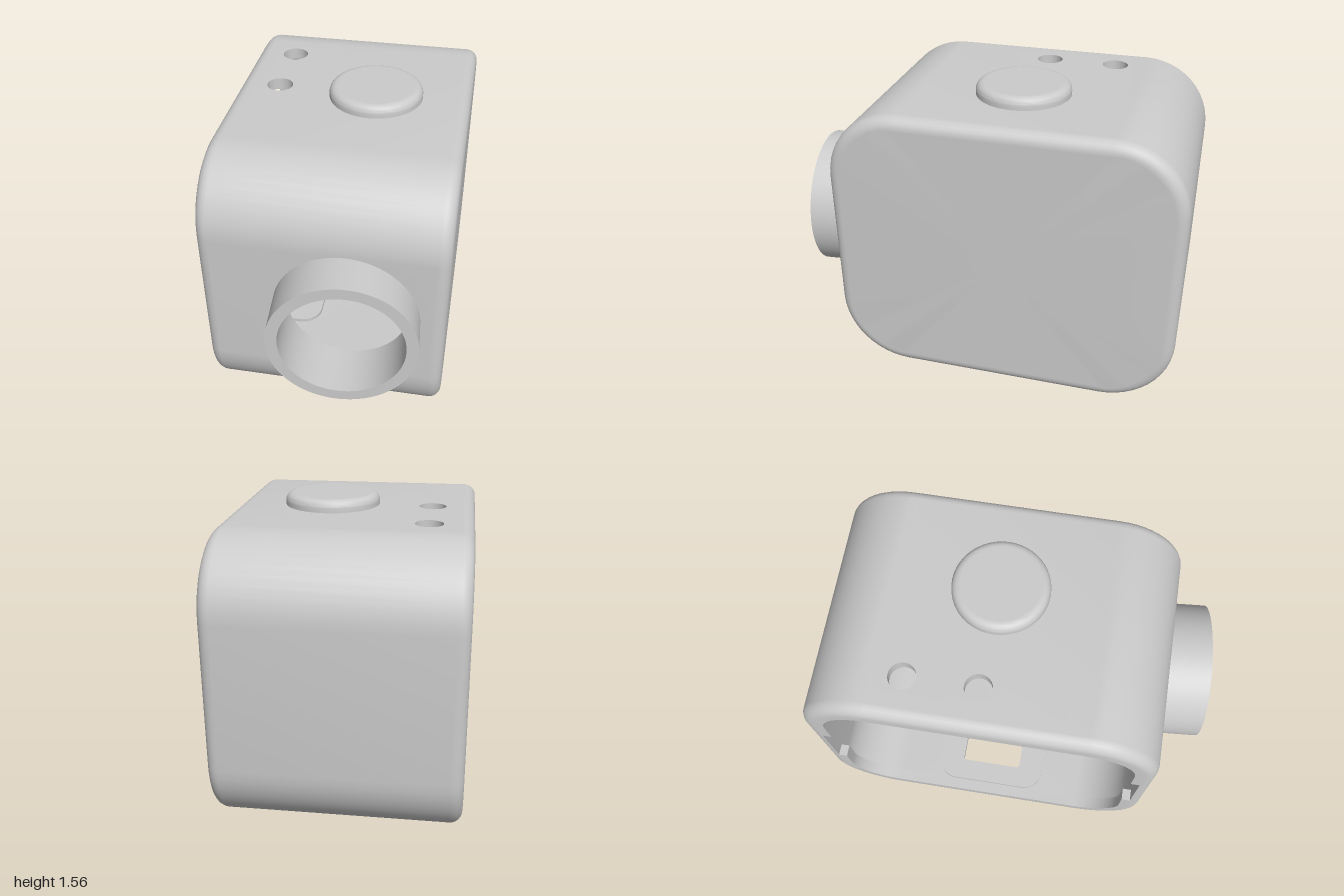
import * as THREE from 'three';
import { mergeGeometries, toCreasedNormals } from 'three/addons/utils/BufferGeometryUtils.js';

const R = 0.36, WALL = 0.062, EDGE = 0.06, END = 0.54;  // corner radius, wall, edge rounding
const LIP = 0.11;                                       // inset of the lip round the open end
const Z0 = -0.64, Z1 = 0.4, Y0 = 0.42, Y1 = 1.14;       // centres of the corner arcs
const CX = -0.34, CZ = -0.12;                           // centre of the slot in the floor

// Points of one rounded corner: arc centre plus direction
function corner(k) {
  const z = k === 0 || k === 3 ? Z1 : Z0, y = k < 2 ? Y1 : Y0;
  return Array.from({ length: 13 }, (_, i) => ({ z, y, a: (k + i / 12) * Math.PI / 2, notch: 0 }));
}

// Clip notch on one straight side, between the given heights
function notch(z, a, from, to) {
  return [[from, 0], [from, 1], [to, 1], [to, 0]].map(([y, n]) => ({ z, y, a, notch: n * 0.045 }));
}

// Sweep a profile of [x, inset, notched] along section points; a null inset closes to the centre
function sweep(profile, loop) {
  const pos = [], index = [], n = loop.length;
  for (const [x, inset, notched] of profile) {
    for (const p of loop) {
      if (inset === null) { pos.push(x, 0.78, -0.12); continue; }
      const r = R - inset + (notched ? p.notch : 0);
      pos.push(x, p.y + Math.sin(p.a) * r, p.z + Math.cos(p.a) * r);
    }
  }
  for (let i = 0; i < profile.length - 1; i++) {
    for (let j = 0; j < n - 1; j++) {
      const a = i * n + j, b = a + n;
      if (profile[i][1] === null) { index.push(a, b, b + 1); continue; }
      index.push(a, b, a + 1);
      if (profile[i + 1][1] !== null) index.push(b, b + 1, a + 1);
    }
  }
  const g = new THREE.BufferGeometry();
  g.setAttribute('position', new THREE.Float32BufferAttribute(pos, 3));
  g.setIndex(index);
  return g;
}

function rect(x0, y0, x1, y1) {
  return new THREE.Shape([[x0, y0], [x1, y0], [x1, y1], [x0, y1]].map(p => new THREE.Vector2(...p)));
}

function roundRect(cx, cy, w, h, r) {
  const s = new THREE.Shape(), x = w / 2 - r, y = h / 2 - r;
  s.absarc(cx + x, cy + y, r, 0, Math.PI / 2);
  s.absarc(cx - x, cy + y, r, Math.PI / 2, Math.PI);
  s.absarc(cx - x, cy - y, r, Math.PI, Math.PI * 1.5);
  s.absarc(cx + x, cy - y, r, Math.PI * 1.5, Math.PI * 2);
  s.closePath();
  return s;
}

function circle(x, y, r) {
  return new THREE.Shape().absarc(x, y, r, 0, Math.PI * 2);
}

function slab(shape, depth, holes = []) {
  shape.holes.push(...holes);
  return new THREE.ExtrudeGeometry(shape, { depth, bevelEnabled: false, curveSegments: 24 });
}

// Horizontal slab whose shape is drawn as (x, -z)
const flat = (shape, y, depth, holes) => slab(shape, depth, holes).rotateX(-Math.PI / 2).translate(0, y, 0);

function merge(list) {
  const parts = list.map(g => {
    const p = g.index ? g.toNonIndexed() : g;
    p.deleteAttribute('uv');
    p.computeVertexNormals();
    return p;
  });
  return toCreasedNormals(mergeGeometries(parts), 0.5);
}

function buildHousing() {
  const front = notch(Z1, 0, 0.58, 0.98), back = notch(Z0, Math.PI, 0.98, 0.58);
  const loop = [...corner(0), ...corner(1), ...back, ...corner(2), ...corner(3), ...front, corner(0)[0]];
  const round = [0, 1, 2, 3, 4, 5, 6].map(i => i * Math.PI / 12)
    .map(t => [END + EDGE * Math.sin(t), EDGE * (1 - Math.cos(t))]);
  const parts = [];
  // Open end with an inward lip, notched for the lid clips
  parts.push(sweep([
    [-END, WALL], [-END, LIP, true], [-0.6, LIP, true],
    ...round.map(([x, i]) => [-x, i]).reverse(),
  ], loop));
  // Closed end, outside and inside
  parts.push(sweep([...round, [0.6, 0.066], [0.6, null]], loop));
  parts.push(sweep([[END, null], [END, WALL]], loop));
  // Curved corners
  for (let k = 0; k < 4; k++) {
    parts.push(sweep([[-END, 0], [END, 0]], corner(k)), sweep([[END, WALL], [-END, WALL]], corner(k)));
  }
  // Front wall with lens opening, plain back wall
  parts.push(slab(rect(-END, Y0, END, Y1), WALL, [circle(0.117, 0.782, 0.33)]).translate(0, 0, 0.76 - WALL));
  parts.push(slab(rect(-END, Y0, END, Y1), WALL).translate(0, 0, -1));
  // Roof with two round holes
  const plate = () => rect(-END, -Z1, END, -Z0);
  parts.push(flat(plate(), 1.5 - WALL, WALL, [circle(-0.388, 0.138, 0.067), circle(-0.388, 0.495, 0.067)]));
  // Floor with recessed slot
  const slot = () => roundRect(CX, -CZ, 0.15, 0.34, 0.02);
  parts.push(flat(plate(), 0.06, 0.05, [roundRect(CX, -CZ, 0.26, 0.48, 0.08)]));
  parts.push(flat(plate(), 0.11, WALL - 0.05, [slot()]));
  // Raised pad around the slot on the inside
  parts.push(flat(roundRect(CX, -CZ, 0.38, 0.62, 0.11), 0.06 + WALL, 0.02, [slot()]));
  return merge(parts);
}

// Lens ring: tilted front rim, back end trimmed flush with the inside of the wall
function buildLensRing() {
  const tilt = 0.085, axis = new THREE.Vector3(Math.sin(tilt), 0, Math.cos(tilt));
  const g = new THREE.ExtrudeGeometry(
    Object.assign(circle(0, 0, 0.358), { holes: [circle(0, 0, 0.3)] }),
    { depth: 1, bevelEnabled: false, curveSegments: 64 });
  const pos = g.attributes.position, v = new THREE.Vector3();
  for (let i = 0; i < pos.count; i++) {
    const isBack = pos.getZ(i) < 0.5;
    v.set(pos.getX(i), pos.getY(i), 0).applyAxisAngle(THREE.Object3D.DEFAULT_UP, tilt);
    v.add(new THREE.Vector3(0.137, 0.782, 0.969));
    if (isBack) v.addScaledVector(axis, (0.76 - WALL - v.z) / axis.z);
    pos.setXYZ(i, v.x, v.y, v.z);
  }
  return merge([g]);
}

// Round button with a softened edge
function buildButton() {
  const pts = [new THREE.Vector2(0.238, -0.02)];
  for (let i = 0; i <= 6; i++) {
    const t = i * Math.PI / 12;
    pts.push(new THREE.Vector2(0.198 + 0.04 * Math.cos(t), 0.02 + 0.04 * Math.sin(t)));
  }
  pts.push(new THREE.Vector2(0.19, 0.06), new THREE.Vector2(0, 0.06));
  return merge([new THREE.LatheGeometry(pts, 48)]);
}

export function createModel() {
  const group = new THREE.Group();
  group.name = 'cameraHousing';
  const grey = new THREE.MeshStandardMaterial({ color: 0xcbcbcb });
  grey.name = 'grey';
  const add = (name, geometry) => {
    const mesh = new THREE.Mesh(geometry, grey);
    mesh.name = name;
    group.add(mesh);
    return mesh;
  };
  add('housing', buildHousing());
  add('lensRing', buildLensRing());
  const button = buildButton();
  add('topButton', button).position.set(0.12, 1.5, -0.117);
  const lower = add('bottomButton', button);
  lower.position.set(0.12, 0.06, -0.117);
  lower.rotation.x = Math.PI;
  return group;
}
